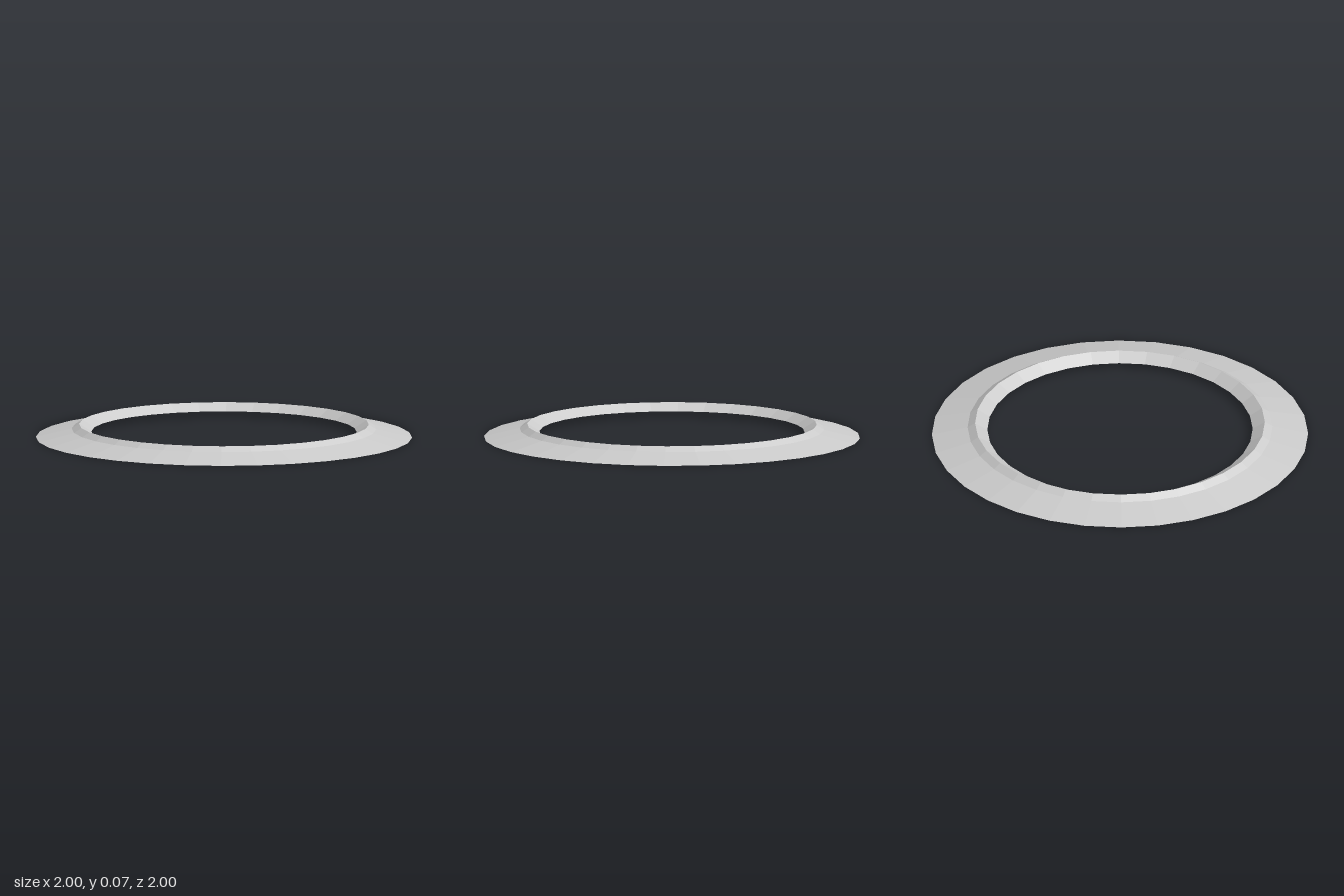
import * as THREE from 'three';

export function createModel() {
  const group = new THREE.Group();
  group.name = 'trimRing';

  // Open shell: outer rim, shallow slope, steeper lip, crest, inner bevel
  const profile = [
    [1, 0],
    [0.81, 0.045],
    [0.77, 0.07],
    [0.705, 0.03],
  ].map(([r, y]) => new THREE.Vector2(r, y));

  const material = new THREE.MeshStandardMaterial({
    color: 0xcccccc,
    flatShading: true,
    side: THREE.DoubleSide,
  });

  const ring = new THREE.Mesh(new THREE.LatheGeometry(profile, 32), material);
  ring.name = 'bevelledRing';
  group.add(ring);

  return group;
}
